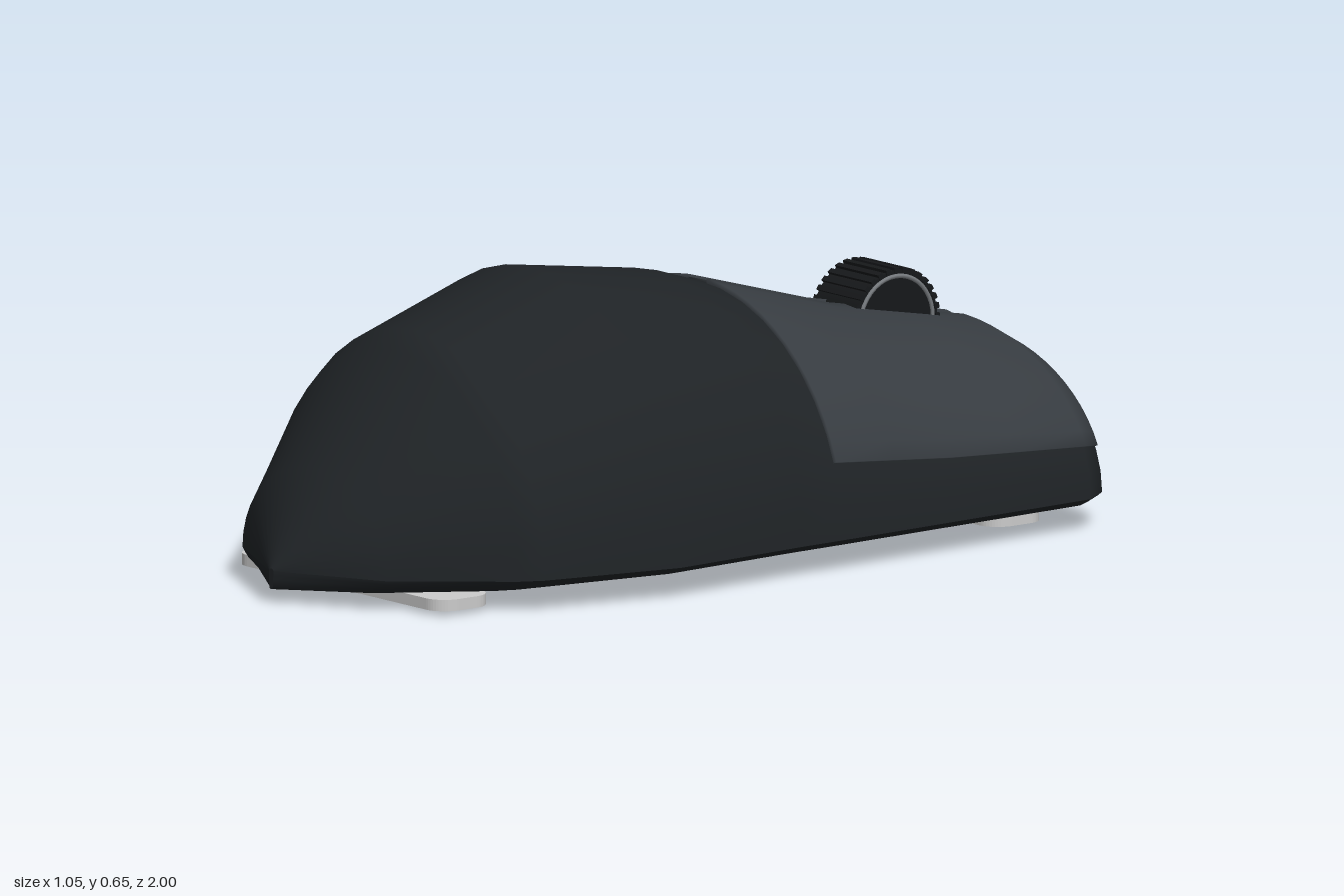
import * as THREE from 'three';

const RIM = 0.07; // height of the shell's widest line
const mat = (color) => new THREE.MeshStandardMaterial({ color, side: THREE.DoubleSide });
const DARK = mat(0x1f2326), PANEL = mat(0x373c41), STRIP = mat(0x25292c);
const RUBBER = mat(0x16181a), METAL = mat(0x777b7f), PAD = mat(0xcccccc);

// Sections from tail to nose: [z, top height, half width]
const SECTIONS = [
  [1, 0.075, 0.008], [0.88, 0.28, 0.25], [0.66, 0.51, 0.43], [0.61, 0.55, 0.455], [0.29, 0.65, 0.525],
  [-0.06, 0.6, 0.503], [-0.17, 0.565, 0.5], [-0.5, 0.472, 0.486], [-0.88, 0.4, 0.47],
  [-0.95, 0.36, 0.42], [-0.99, 0.31, 0.34],
];

function sectionAt(z) {
  let i = 0;
  while (i < SECTIONS.length - 2 && SECTIONS[i + 1][0] > z) i++;
  const a = SECTIONS[i], b = SECTIONS[i + 1], t = (z - a[0]) / (b[0] - a[0]);
  return [z, a[1] + (b[1] - a[1]) * t, a[2] + (b[2] - a[2]) * t];
}

// Point on the elliptical shell, lifted outward by off
function shellPoint([z, h, w], angle, off = 0) {
  return [(w + off) * Math.cos(angle), RIM + (h - RIM + off) * Math.sin(angle), z];
}

// Point on the shallow underside, u from -1 to 1
function bottomPoint([z, , w], u) {
  return [w * u, 0.03 + (RIM - 0.03) * Math.pow(Math.abs(u), 8), z];
}

// Surface through rows of points
function sheet(rows) {
  const n = rows[0].length, index = [];
  for (let i = 0; i < rows.length - 1; i++) {
    for (let j = 0; j < n - 1; j++) {
      const a = i * n + j, b = a + n;
      index.push(a, b, b + 1, a, b + 1, a + 1);
    }
  }
  const g = new THREE.BufferGeometry();
  g.setAttribute('position', new THREE.Float32BufferAttribute(rows.flat(2), 3));
  g.setIndex(index);
  g.computeVertexNormals();
  return g;
}

const steps = (n, a, b) => Array.from({ length: n + 1 }, (_, i) => a + ((b - a) * i) / n);
const ARC = steps(20, 0, Math.PI);
const UNDER = [-1, -0.97, -0.92, -0.8, -0.5, 0, 0.5, 0.8, 0.92, 0.97, 1];

// Raised patch on the shell, its border rows sunk back to the body
function patch(zs, angles, off) {
  const sunk = (list) => [list[0], ...list, list[list.length - 1]];
  const rows = sunk(zs), cols = sunk(angles);
  return sheet(rows.map((z, i) => cols.map((angle, j) => {
    const edge = i === 0 || j === 0 || i === rows.length - 1 || j === cols.length - 1;
    return shellPoint(sectionAt(z), angle, edge ? -0.004 : off);
  })));
}

// Rounded rectangle in x and z, extruded up from y = 0
function slab(w, d, h, r) {
  const x = w / 2, y = d / 2, s = new THREE.Shape();
  s.absarc(x - r, y - r, r, 0, Math.PI / 2);
  s.absarc(-x + r, y - r, r, Math.PI / 2, Math.PI);
  s.absarc(-x + r, -y + r, r, Math.PI, Math.PI * 1.5);
  s.absarc(x - r, -y + r, r, Math.PI * 1.5, Math.PI * 2);
  return new THREE.ExtrudeGeometry(s, { depth: h, bevelEnabled: false, curveSegments: 6 }).rotateX(-Math.PI / 2);
}

export function createModel() {
  const model = new THREE.Group();
  const add = (name, geometry, material, x = 0, y = 0, z = 0, parent = model) => {
    const mesh = new THREE.Mesh(geometry, material);
    mesh.name = name;
    mesh.position.set(x, y, z);
    parent.add(mesh);
    return mesh;
  };

  // Body shell, underside and end caps
  add('bodyShell', sheet(SECTIONS.map((s) => ARC.map((a) => shellPoint(s, a)))), DARK);
  add('underside', sheet(SECTIONS.map((s) => UNDER.map((u) => bottomPoint(s, u)))), DARK);
  const nose = SECTIONS[SECTIONS.length - 1], tail = SECTIONS[0];
  const outline = (s) => [...ARC.map((a) => shellPoint(s, a)), ...UNDER.map((u) => bottomPoint(s, u))];
  const hub = (s) => outline(s).map(() => [0, (s[1] + 0.03) / 2, s[0]]);
  add('noseCap', sheet([outline(nose), hub(nose)]), DARK);
  add('tailCap', sheet([hub(tail), outline(tail)]), DARK);

  // Two click panels with a dark strip between them
  const zs = [-0.172, -0.34, -0.5, -0.69, -0.88, -0.95, -0.983];
  const low = 0.34, high = Math.PI / 2 - 0.062;
  add('leftClickPanel', patch(zs, steps(12, low, high), 0.01), PANEL);
  add('rightClickPanel', patch(zs, steps(12, Math.PI - high, Math.PI - low), 0.01), PANEL);
  add('centreStrip', patch(zs, steps(2, high, Math.PI - high), 0.004), STRIP);

  // Scroll wheel with ribs and side rims
  const wheel = new THREE.Group();
  wheel.name = 'scrollWheel';
  wheel.position.set(0, 0.425, -0.66);
  model.add(wheel);
  add('wheelCore', new THREE.CylinderGeometry(0.113, 0.113, 0.146, 40).rotateZ(Math.PI / 2), RUBBER, 0, 0, 0, wheel);
  const rib = new THREE.BoxGeometry(0.15, 0.012, 0.012);
  for (let i = 0; i < 32; i++) {
    const a = (i / 32) * Math.PI * 2;
    const m = add('wheelRib', rib, RUBBER, 0, 0.113 * Math.cos(a), 0.113 * Math.sin(a), wheel);
    m.rotation.x = a;
  }
  for (const side of [-1, 1]) {
    add('wheelRim', new THREE.TorusGeometry(0.1, 0.005, 6, 40).rotateY(Math.PI / 2), METAL, side * 0.073, 0, 0, wheel);
  }

  // Thumb buttons
  for (const z of [-0.295, 0.045]) add('thumbButton', slab(0.062, 0.25, 0.085, 0.02), PANEL, -0.498, 0.305, z);

  // Charging port
  add('port', new THREE.BoxGeometry(0.19, 0.075, 0.03), RUBBER, 0, 0.165, -0.985);

  // Glide feet and sensor
  for (const z of [0.745, -0.775]) add('glideFoot', slab(0.72, 0.15, 0.025, 0.05), PAD, 0, 0.01, z);
  add('sensor', new THREE.CylinderGeometry(0.075, 0.075, 0.035, 32), RUBBER, 0, 0.0175, -0.09);

  return model;
}
